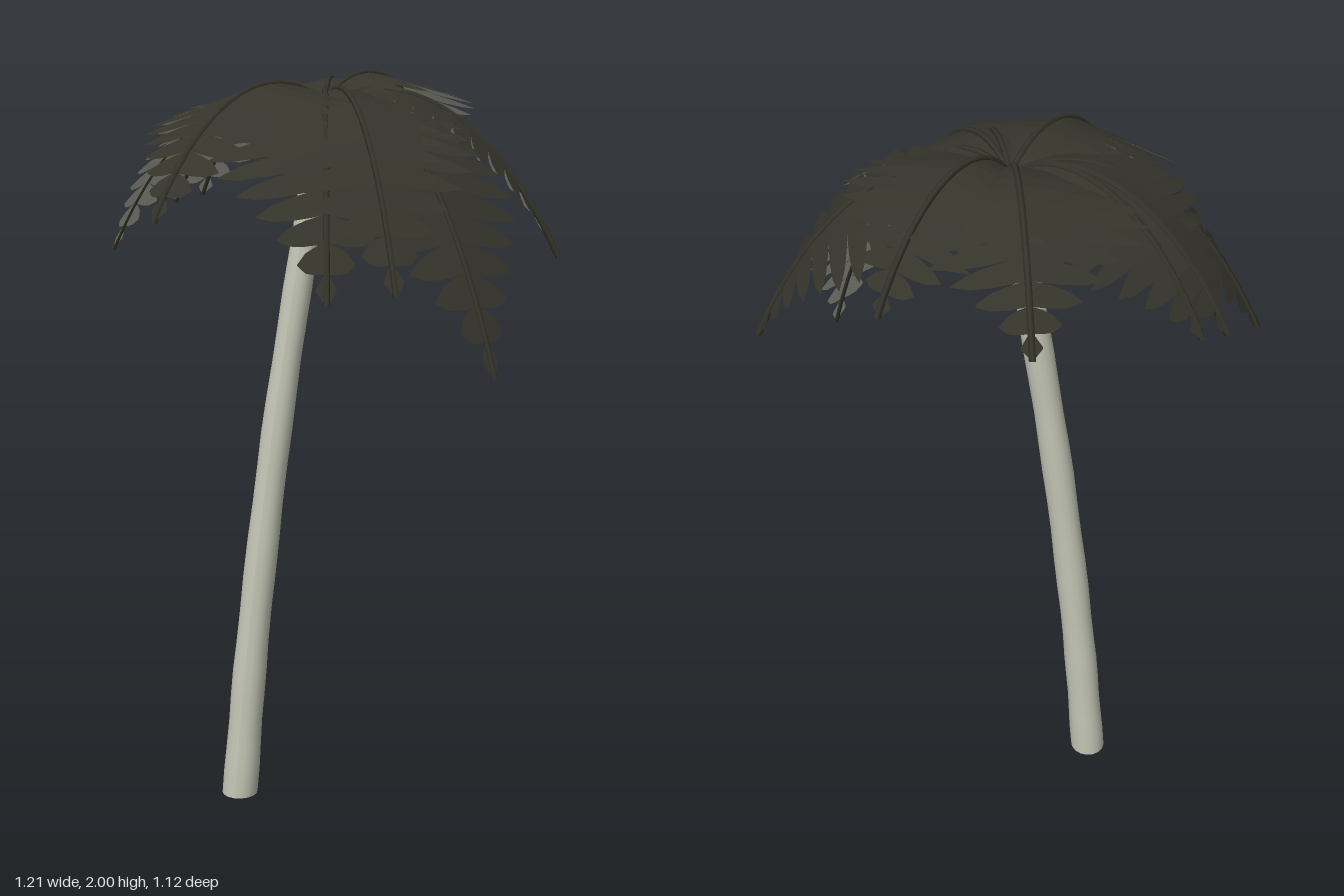
import * as THREE from 'three';

const mat = (name, color) => {
  const m = new THREE.MeshStandardMaterial({ color });
  m.name = name;
  return m;
};

// Frond tips: x, y, z
const TIPS = [
  [-0.09, 1.73, -0.56], [0.25, 1.76, -0.46], [0.60, 1.52, -0.15], [0.52, 1.27, 0.35],
  [0.32, 1.47, 0.51], [0.17, 1.45, 0.55], [-0.24, 1.63, 0.55], [-0.60, 1.53, -0.04],
  [-0.51, 1.65, -0.28], [-0.45, 1.67, -0.34],
];
const CROWN = new THREE.Vector3(0, 1.905, -0.04);
const LEAFLETS = 15;

// Arching midrib from the crown to a tip; higher tips arch higher
function ribCurve([x, y, z]) {
  const at = (k, h) => new THREE.Vector3(
    CROWN.x + (x - CROWN.x) * k, h, CROWN.z + (z - CROWN.z) * k);
  return new THREE.CubicBezierCurve3(CROWN.clone(), at(0.2, 1.995 + Math.max(0, y - 1.63) * 0.4),
    at(0.65, 1.975 + (y - 1.53) * 0.27), at(1, y));
}

// Half width of the blade along the rib
const halfWidth = (s) =>
  0.28 * Math.min(1, (1 - s) * 2) ** 1.1 * Math.min(1, 0.2 + s * 2.4);

// Fused near the rib, split into pointed leaflets outside; underside reverses the faces
function bladeGeometry(curve, underside) {
  const end = curve.v3, dir = new THREE.Vector3(end.x - CROWN.x, 0, end.z - CROWN.z).normalize();
  const pos = [], idx = [];
  const point = (s, w) => {
    const p = curve.getPointAt(s);
    pos.push(p.x + dir.z * w, p.y - Math.abs(w) * 0.23 - (underside ? 0.002 : 0), p.z - dir.x * w);
  };
  const leaflet = (s0, s1, width, rows, sign) => {
    const mid = (s0 + s1) / 2, half = (s1 - s0) / 2, base = pos.length / 3;
    rows.forEach(([u, h]) => {
      point(mid - half * h, sign * u * width);
      point(mid + half * h, sign * u * width);
    });
    for (let r = 0; r < rows.length - 1; r++) {
      const a = base + r * 2, b = a + 1, c = a + 3, d = a + 2;
      if ((sign > 0) !== underside) idx.push(a, b, c, a, c, d);
      else idx.push(a, c, b, a, d, c);
    }
  };
  // Leaflets grow broader toward the tip
  const border = (i) => 0.91 * (i / LEAFLETS) ** 1.45;
  for (const sign of [1, -1]) {
    for (let i = 0; i < LEAFLETS; i++) {
      const s0 = border(i), s1 = border(i + 1), s = (s0 + s1) / 2;
      const f = Math.max(0.08, 0.75 - 0.8 * s), g = 1 - f;
      const rows = [[0, 1], [f, 1], [f + g * 0.35, 0.9], [f + g * 0.7, 0.65], [1, 0.05]];
      leaflet(s0, s1, halfWidth(s), rows, sign);
    }
    // Small diamond tip
    leaflet(0.9, 1, 0.023, [[0, 1], [1, 0.08]], sign);
  }
  const geometry = new THREE.BufferGeometry();
  geometry.setAttribute('position', new THREE.Float32BufferAttribute(pos, 3));
  geometry.setIndex(idx);
  geometry.computeVertexNormals();
  return geometry;
}

// Leaning, tapered, open-ended trunk with faint rings
function trunkGeometry() {
  const axis = new THREE.CatmullRomCurve3([
    new THREE.Vector3(-0.235, 0, 0.01), new THREE.Vector3(-0.195, 0.45, 0.005),
    new THREE.Vector3(-0.125, 1.05, -0.01), new THREE.Vector3(-0.045, 1.6, -0.03),
    new THREE.Vector3(-0.015, 1.83, -0.035),
  ]);
  const g = new THREE.CylinderGeometry(1, 1, 1, 16, 24, true);
  const p = g.attributes.position;
  for (let i = 0; i < p.count; i++) {
    const t = p.getY(i) + 0.5, c = axis.getPoint(t);
    const r = 0.05 - 0.018 * t + 0.0012 * Math.sin(t * 40);
    p.setXYZ(i, c.x + p.getX(i) * r, c.y, c.z + p.getZ(i) * r);
  }
  g.computeVertexNormals();
  return g;
}

export function createModel() {
  const bark = mat('pale bark', 0xc6c8b7);
  bark.side = THREE.DoubleSide;
  const leafTop = mat('dark leaf', 0x35342b);
  const leafUnder = mat('pale leaf underside', 0xbcbeae);
  const model = new THREE.Group();
  model.name = 'palmTree';
  const add = (parent, name, geometry, material) => {
    const mesh = new THREE.Mesh(geometry, material);
    mesh.name = name;
    parent.add(mesh);
    return mesh;
  };

  add(model, 'trunk', trunkGeometry(), bark);

  // Nuts clustered under the crown
  for (let i = 0; i < 4; i++) {
    const a = i * Math.PI / 2 + 0.5;
    add(model, 'nut', new THREE.SphereGeometry(0.036, 14, 10), bark)
      .position.set(-0.012 + Math.cos(a) * 0.04, 1.835, -0.035 + Math.sin(a) * 0.04);
  }

  // Fronds
  for (const tip of TIPS) {
    const frond = new THREE.Group();
    frond.name = 'frond';
    const curve = ribCurve(tip);
    add(frond, 'bladeTop', bladeGeometry(curve, false), leafTop);
    add(frond, 'bladeUnderside', bladeGeometry(curve, true), leafUnder);
    add(frond, 'midrib', new THREE.TubeGeometry(curve, 20, 0.008, 5), leafTop);
    model.add(frond);
  }
  return model;
}
